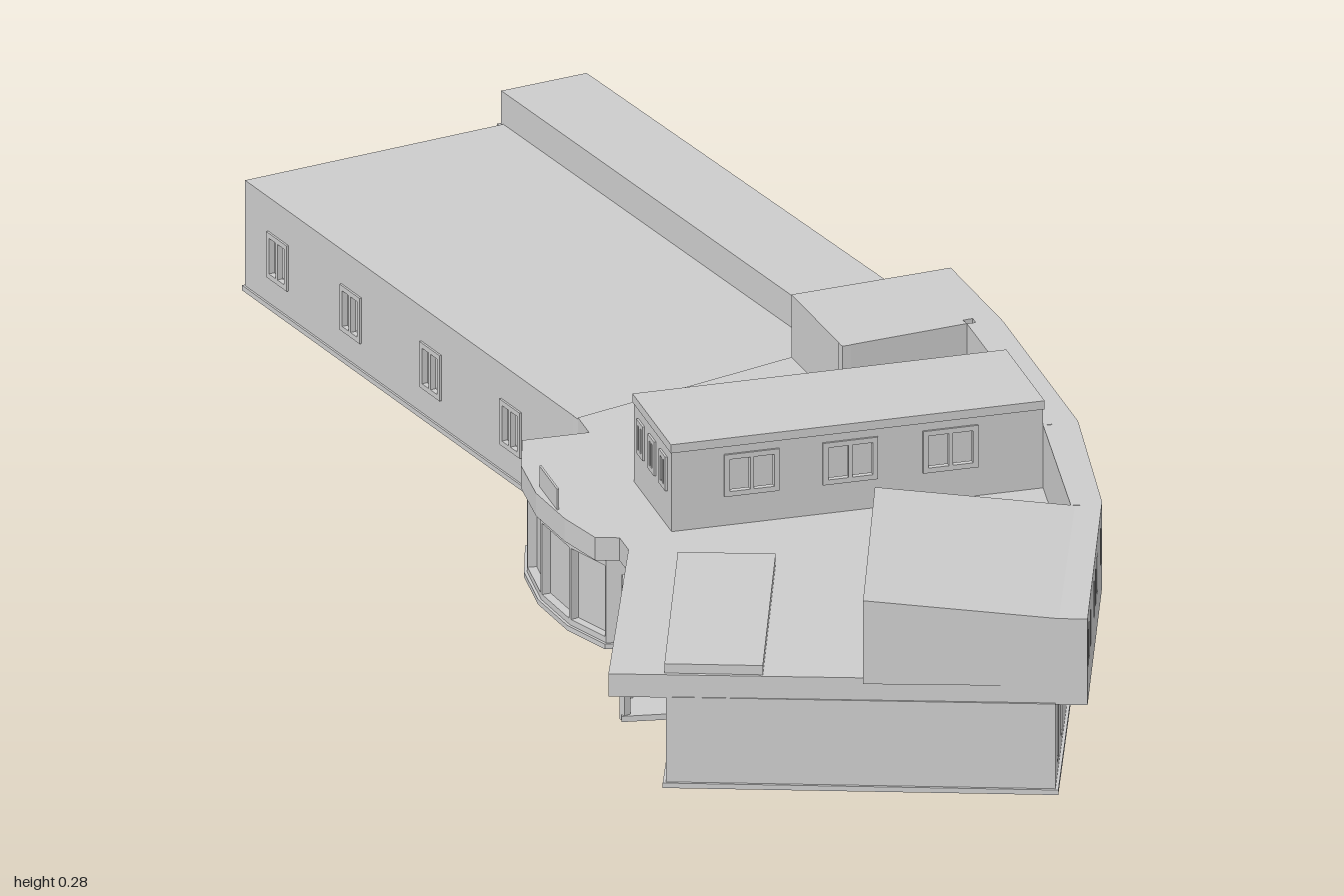
import * as THREE from 'three';

const material = new THREE.MeshStandardMaterial({ color: 0xcccccc, flatShading: true });
const T = 0.012; // wall panel thickness

function add(parent, name, geometry) {
  const mesh = new THREE.Mesh(geometry, material);
  mesh.name = name;
  parent.add(mesh);
  return mesh;
}

function box(parent, name, w, h, d, x, y, z, turn = 0) {
  const mesh = add(parent, name, new THREE.BoxGeometry(w, h, d));
  mesh.position.set(x, y + h / 2, z);
  mesh.rotation.y = turn;
  return mesh;
}

// Upright prism over a plan outline of [x, z] points
function prism(points, y0, y1) {
  const shape = new THREE.Shape(points.map(([x, z]) => new THREE.Vector2(x, -z)));
  const geometry = new THREE.ExtrudeGeometry(shape, { depth: y1 - y0, bevelEnabled: false });
  return geometry.rotateX(-Math.PI / 2).translate(0, y0, 0);
}

function rect(Type, x0, y0, x1, y1) {
  return new Type([[x0, y0], [x1, y0], [x1, y1], [x0, y1]].map(([x, y]) => new THREE.Vector2(x, y)));
}

// Move every side of an outline inwards by d (outwards when negative)
function inset(points, d) {
  const n = points.length;
  const normal = (i) => {
    const a = points[(i + n) % n], b = points[(i + 1) % n];
    return new THREE.Vector2(a[1] - b[1], b[0] - a[0]).normalize();
  };
  return points.map(([x, z], i) => {
    const p = normal(i - 1), q = normal(i);
    const k = d / (1 + p.dot(q));
    return [x - (p.x + q.x) * k, z - (p.y + q.y) * k];
  });
}

// Window casing standing in its opening, with a central mullion if wide
function casing(parent, x, w, y0, y1) {
  const b = 0.005, left = x - w / 2, right = x + w / 2;
  const shape = rect(THREE.Shape, left - 0.002, y0 - 0.002, right + 0.002, y1 + 0.002);
  shape.holes.push(rect(THREE.Path, left + b, y0 + b, x - b / 2, y1 - b));
  shape.holes.push(rect(THREE.Path, x + b / 2, y0 + b, right - b, y1 - b));
  const geometry = new THREE.ExtrudeGeometry(shape, { depth: 0.008, bevelEnabled: false });
  add(parent, 'windowFrame', geometry.translate(0, 0, -0.005));
}

// Solid core clad in wall panels; openings[side] = [{ t, w, y0, y1, framed }]
function block(parent, name, points, y0, y1, openings = {}) {
  const group = new THREE.Group();
  group.name = name;
  parent.add(group);
  add(group, name + 'Core', prism(inset(points, T), y0, y1));
  points.forEach((a, i) => {
    const b = points[(i + 1) % points.length];
    const dx = b[0] - a[0], dz = b[1] - a[1], length = Math.hypot(dx, dz);
    const side = new THREE.Group();
    side.name = name + 'Wall';
    side.position.set(a[0], 0, a[1]);
    side.rotation.y = Math.atan2(-dz, dx);
    group.add(side);
    const shape = rect(THREE.Shape, 0, y0, length, y1);
    for (const o of openings[i] || []) {
      const x = o.t * length;
      shape.holes.push(rect(THREE.Path, x - o.w / 2, o.y0, x + o.w / 2, o.y1));
      if (o.framed) casing(side, x, o.w, o.y0, o.y1);
    }
    const geometry = new THREE.ExtrudeGeometry(shape, { depth: T, bevelEnabled: false });
    add(side, name + 'Panel', geometry.translate(0, 0, -T));
  });
  return group;
}

const row = (ts, w, y0, y1, framed = false) => ts.map((t) => ({ t, w, y0, y1, framed }));

export function createModel() {
  const model = new THREE.Group();
  model.name = 'building';

  // Ground floor of the curved main building
  const ground = [[-0.31, 0.815], [0.165, 0.98], [0.29, 0.63], [0.33, 0.37], [0.33, 0.03],
    [0.305, -0.15], [-0.18, -0.02], [-0.17, 0.43]];
  block(model, 'groundFloor', ground, 0, 0.126, {
    1: row([0.17, 0.4, 0.69, 0.91], 0.03, 0.02, 0.112),
    7: row([0.3, 0.7], 0.06, 0.02, 0.105, true),
  });
  add(model, 'mainPlinth', prism(inset(ground, -0.004), 0, 0.007));

  // Long rear wing
  const wing = [[0.308, -0.15], [0.118, -0.992], [-0.37, -0.887], [-0.18, -0.02]];
  block(model, 'rearWing', wing, 0, 0.155, {
    0: row([0.08, 0.27, 0.46, 0.65, 0.83], 0.05, 0.048, 0.102, true),
    2: row([0.1, 0.32, 0.56, 0.8], 0.05, 0.045, 0.105, true),
  });
  add(model, 'wingPlinth', prism(inset(wing, -0.003), 0, 0.007));

  // Raised strip along the wing's outer edge
  const strip = [[0.32, -0.155], [0.122, -0.996], [0, -0.972], [0.19, -0.135]];
  add(model, 'wingRoofStrip', prism(strip, 0.128, 0.2));
  add(model, 'wingStripLedge', prism(inset(strip, -0.004), 0.13, 0.153));

  // Flat roof slab overhanging the walls
  add(model, 'roofSlab', prism([[-0.38, 0.79], [0.205, 0.99], [0.33, 0.63], [0.375, 0.37],
    [0.375, 0.03], [0.36, -0.155], [0.14, -0.13], [-0.18, -0.02], [-0.18, 0.03], [-0.27, 0.03],
    [-0.295, 0.11], [-0.302, 0.2], [-0.29, 0.29], [-0.27, 0.36], [-0.24, 0.37], [-0.24, 0.41]],
  0.125, 0.157));

  // Upper gallery following the curve, ending in a square block
  block(model, 'upperGallery', [[0.165, 0.977], [0.205, 0.991], [0.332, 0.63], [0.377, 0.37],
    [0.377, 0.03], [0.362, -0.155], [0.14, -0.13], [0.155, 0.05], [0.33, 0.025], [0.33, 0.37],
    [0.29, 0.63]], 0.124, 0.245, {
    1: row([0.05, 0.125, 0.22, 0.46, 0.57, 0.68, 0.91], 0.018, 0.17, 0.222),
    2: row([0.05, 0.69, 0.87], 0.018, 0.17, 0.222),
  });

  // Hall with a roof sloping down to the gallery
  const hall = prism([[-0.07, 0.9], [0.17, 0.979], [0.295, 0.632], [0.05, 0.55]], 0.15, 0.245);
  const p = hall.attributes.position;
  for (let i = 0; i < p.count; i++) {
    const west = p.getX(i) < 0.1;
    if (p.getY(i) > 0.2 && west) p.setY(i, 0.267);
  }
  hall.computeVertexNormals();
  add(model, 'slopedHall', hall);

  // Low raised roof panel
  add(model, 'lowRoofPanel', prism([[-0.31, 0.808], [-0.19, 0.85], [-0.07, 0.505], [-0.19, 0.465]],
    0.15, 0.17));

  // Penthouse across the roof
  block(model, 'penthouse', [[-0.17, 0.37], [0.33, 0.37], [0.33, 0.2], [-0.17, 0.2]], 0.15, 0.268, {
    0: row([0.215, 0.48, 0.75], 0.07, 0.2, 0.255, true),
    2: row([0.24, 0.52, 0.81], 0.07, 0.2, 0.255, true),
    3: row([0.2, 0.5, 0.8], 0.025, 0.208, 0.252, true),
  });
  box(model, 'penthouseRoof', 0.503, 0.012, 0.174, 0.08, 0.268, 0.285);

  // Curved glazed entrance bay
  const bay = [[-0.16, 0.03], [-0.262, 0.03], [-0.287, 0.11], [-0.295, 0.2], [-0.283, 0.29],
    [-0.255, 0.36], [-0.16, 0.38]];
  block(model, 'entranceBay', bay, 0.003, 0.126, {
    0: row([0.55], 0.06, 0.015, 0.115, true),
    1: row([0.5], 0.078, 0.015, 0.115),
    2: row([0.5], 0.084, 0.015, 0.115),
    3: row([0.5], 0.084, 0.015, 0.115),
    4: row([0.5], 0.07, 0.015, 0.115),
  });
  add(model, 'bayFloor', prism(inset(bay, -0.004), 0, 0.007));
  box(model, 'bayRoofFin', 0.003, 0.03, 0.08, -0.29, 0.156, 0.22);

  // Porch under the overhang
  add(model, 'porchFloor', prism([[-0.305, 0.597], [-0.22, 0.61], [-0.16, 0.4], [-0.25, 0.41]], 0, 0.008));
  for (const [x, z] of [[-0.298, 0.59], [-0.28, 0.54], [-0.245, 0.42]]) {
    box(model, 'porchPost', 0.01, 0.126, 0.01, x, 0, z, 0.35);
  }
  box(model, 'porchBeam', 0.01, 0.012, 0.18, -0.272, 0.114, 0.505, -0.3);

  return model;
}
